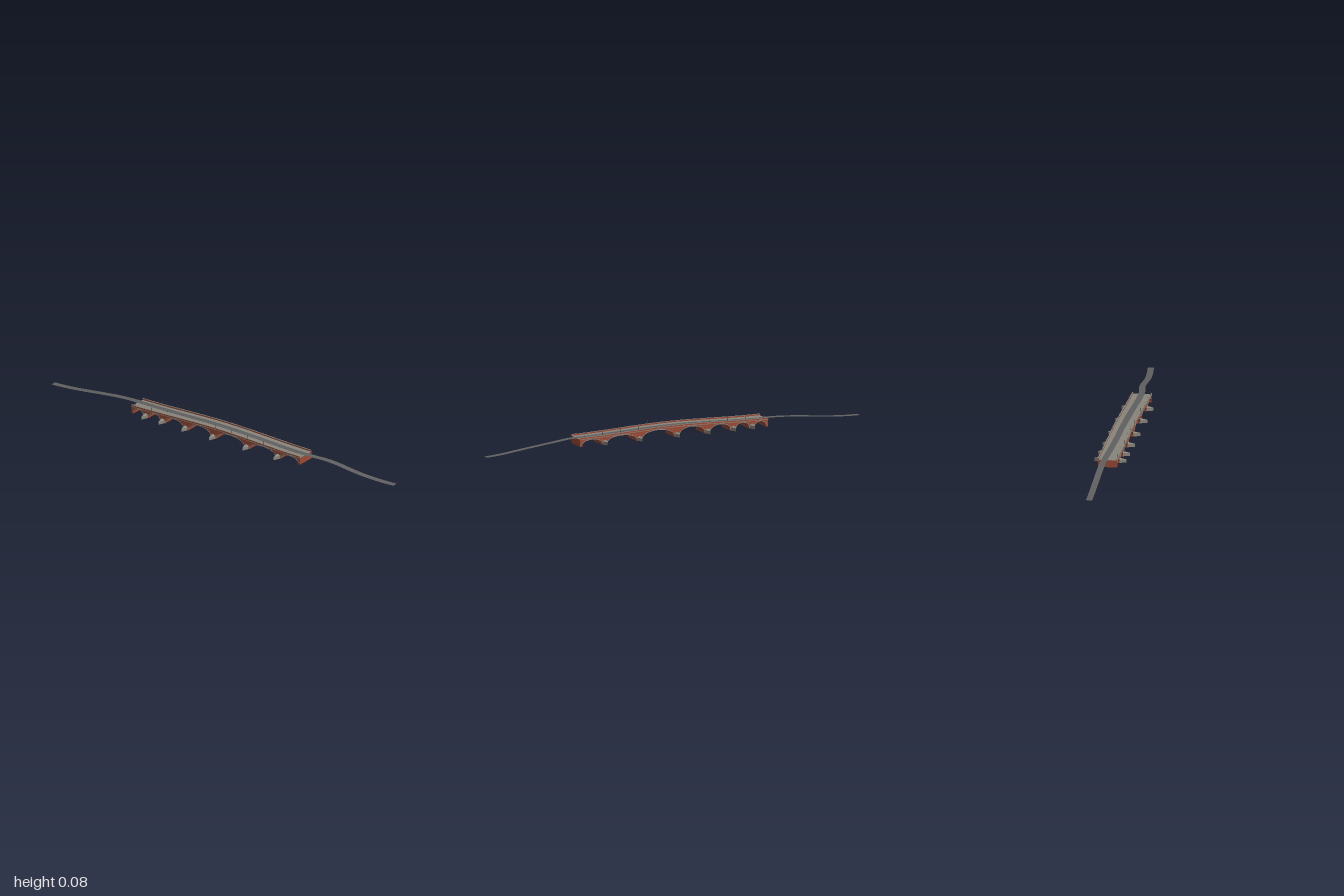
import * as THREE from 'three';

const HALF = 0.514;                                          // half length of the bridge
const PIERS = [-0.426, -0.323, -0.183, -0.015, 0.189, 0.379]; // pier positions along it
const PIER_W = 0.032, SPRING = 0.008;

const mat = (color) => new THREE.MeshStandardMaterial({ color, side: THREE.DoubleSide });
const brick = mat(0x9c4a35), stone = mat(0x88857c), asphalt = mat(0x606060), iron = mat(0x3c4240);

// Height of the humped deck at distance s from the middle
const deckY = (s) => 0.037 + 0.0065 * (1 + Math.cos(Math.PI * Math.min(1, Math.abs(s) / HALF)));

function mesh(name, geometry, material, parent) {
  const m = new THREE.Mesh(geometry, material);
  m.name = name;
  parent.add(m);
  return m;
}

// Extrude a side-elevation shape from z0 to z1
function slab(name, shape, z0, z1, material, parent) {
  const g = new THREE.ExtrudeGeometry(shape, { depth: z1 - z0, bevelEnabled: false, curveSegments: 12 });
  g.translate(0, 0, z0);
  return mesh(name, g, material, parent);
}

// Points following the deck line, raised by dy
function deckLine(dy, n = 40) {
  return Array.from({ length: n + 1 }, (_, i) => {
    const s = -HALF + (2 * HALF * i) / n;
    return new THREE.Vector2(s, deckY(s) + dy);
  });
}

const band = (low, high) => new THREE.Shape([...deckLine(low), ...deckLine(high).reverse()]);

// The openings between the piers
function arches() {
  const edges = [-HALF - PIER_W * 0.1, ...PIERS, HALF + PIER_W * 0.1];
  return edges.slice(1).map((right, i) => {
    const x0 = edges[i] + PIER_W / 2, x1 = right - PIER_W / 2;
    const c = (x0 + x1) / 2;
    return { c, a: (x1 - x0) / 2, b: deckY(c) - 0.007 - SPRING };
  });
}

function archPoints({ c, a, b }, grow, n = 20) {
  return Array.from({ length: n + 1 }, (_, i) => {
    const t = Math.PI * (1 - i / n);
    return new THREE.Vector2(c + (a + grow) * Math.cos(t), SPRING + (b + grow) * Math.sin(t));
  });
}

// Pointed pier nose with a sloping cap, facing +z or -z
function cutwater(s, side, parent) {
  const w = PIER_W / 2, base = 0.04, tip = 0.08, h = 0.016, top = 0.024;
  const A = [-w, 0, base], B = [w, 0, base], C = [0, 0, tip];
  const a = [-w, h, base], b = [w, h, base], c = [0, h, tip], peak = [0, top, base];
  const tris = [A, C, c, A, c, a, C, B, b, C, b, c, a, c, peak, c, b, peak, A, B, C];
  const g = new THREE.BufferGeometry();
  g.setAttribute('position', new THREE.Float32BufferAttribute(tris.flat(), 3));
  g.computeVertexNormals();
  const m = mesh('cutwater', g, stone, parent);
  m.position.x = s;
  if (side < 0) m.rotation.y = Math.PI;
}

function lamp(s, z, parent) {
  const g = new THREE.Group();
  g.name = 'lamp';
  g.position.set(s, deckY(s) + 0.006, z);
  const pole = mesh('lampPole', new THREE.CylinderGeometry(0.0005, 0.0008, 0.018, 6), iron, g);
  pole.position.y = 0.009;
  const head = mesh('lampHead', new THREE.CylinderGeometry(0.0016, 0.0009, 0.003, 6), iron, g);
  head.position.y = 0.019;
  parent.add(g);
}

// Road as a thin ribbon along a gently bending centre line
function road(parent) {
  const path = new THREE.CatmullRomCurve3([
    [-0.993, 0.266], [-0.8, 0.212], [-0.5, 0.132], [-0.2, 0.065], [0, 0.016], [0.25, -0.046],
    [0.52, -0.115], [0.63, -0.16], [0.81, -0.208], [0.993, -0.274],
  ].map(([x, z]) => new THREE.Vector3(x, 0, z)));
  const n = 90, pos = [], index = [];
  for (let i = 0; i <= n; i++) {
    const p = path.getPointAt(i / n), t = path.getTangentAt(i / n);
    const t01 = THREE.MathUtils.smoothstep(1 - Math.abs(p.x), 0.007, 0.5);
    const y = Math.abs(p.x) > 0.5 ? 0.0385 * t01 : deckY((p.x - 0.0065) / 0.969) + 0.0015;
    for (const k of [-0.0155, 0.0155]) pos.push(p.x - t.z * k, y, p.z + t.x * k);
    if (i < n) {
      const o = 2 * i;
      index.push(o, o + 1, o + 2, o + 1, o + 3, o + 2);
    }
  }
  const g = new THREE.BufferGeometry();
  g.setAttribute('position', new THREE.Float32BufferAttribute(pos, 3));
  g.setIndex(index);
  g.computeVertexNormals();
  mesh('road', g, asphalt, parent);
}

export function createModel() {
  const model = new THREE.Group();
  const bridge = new THREE.Group();
  bridge.name = 'bridge';
  bridge.position.set(0.0065, 0, 0.019);
  bridge.rotation.y = THREE.MathUtils.degToRad(14.2);
  model.add(bridge);

  // Brick body with the arches cut out of its underside
  const outline = [new THREE.Vector2(-HALF, 0)];
  for (const arch of arches()) {
    outline.push(new THREE.Vector2(arch.c - arch.a, 0), ...archPoints(arch, 0), new THREE.Vector2(arch.c + arch.a, 0));
  }
  outline.push(new THREE.Vector2(HALF, 0), ...deckLine(-0.001).reverse());
  slab('archedBody', new THREE.Shape(outline), -0.047, 0.047, brick, bridge);

  // Paved deck, overhanging as a cornice
  slab('deck', band(-0.002, 0.0005), -0.05, 0.05, stone, bridge);

  for (const side of [-1, 1]) {
    const strip = (name, shape, za, zb, m) =>
      slab(name, shape, Math.min(side * za, side * zb), Math.max(side * za, side * zb), m, bridge);
    strip('parapet', band(0.0005, 0.007), 0.0445, 0.0485, brick);
    strip('parapetCap', band(0.007, 0.008), 0.0438, 0.0492, stone);

    // Stone rings around the arches
    for (const arch of arches()) {
      const ring = new THREE.Shape([...archPoints(arch, 0), ...archPoints(arch, 0.0035).reverse()]);
      strip('archRing', ring, 0.046, 0.048, stone);
    }
    for (const s of PIERS) cutwater(s, side, bridge);
    for (let i = -5; i <= 5; i++) lamp(i * 0.098, side * 0.0465, bridge);
  }

  road(model);
  return model;
}
